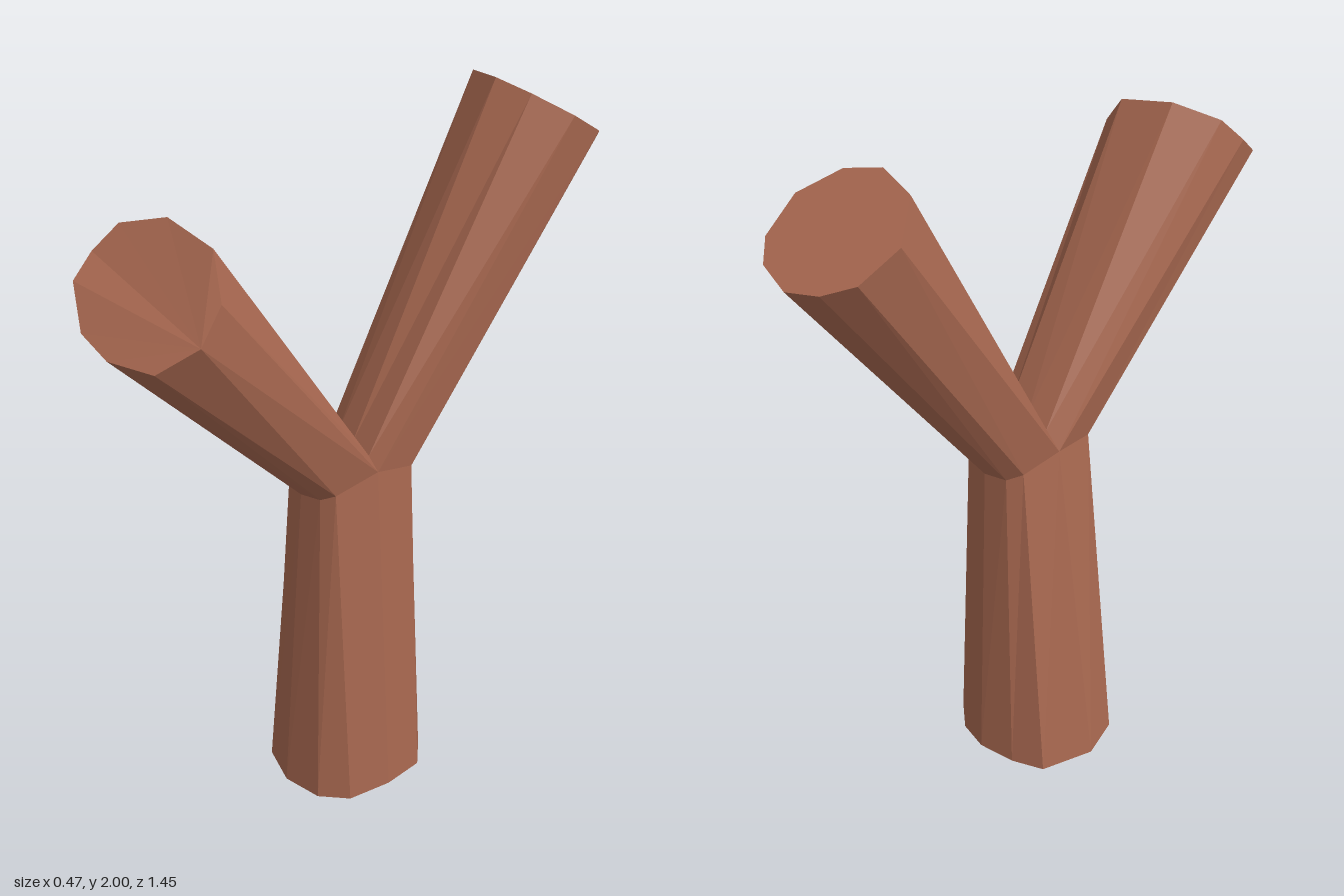
import * as THREE from 'three';

// Flat-shaded tube between two matching rings (counter-clockwise seen from above)
function loft(name, material, from, to, caps) {
  const pos = [];
  const tri = (a, b, c) => pos.push(...a, ...b, ...c);
  const n = from.length;
  for (let i = 0; i < n; i++) {
    const j = (i + 1) % n;
    tri(from[i], from[j], to[j]);
    tri(from[i], to[j], to[i]);
  }
  for (let i = 1; i < n - 1; i++) {
    if (caps.start) tri(from[0], from[i + 1], from[i]);
    if (caps.end) tri(to[0], to[i], to[i + 1]);
  }
  const geometry = new THREE.BufferGeometry();
  geometry.setAttribute('position', new THREE.Float32BufferAttribute(pos, 3));
  geometry.computeVertexNormals();
  const mesh = new THREE.Mesh(geometry, material);
  mesh.name = name;
  return mesh;
}

export function createModel() {
  const group = new THREE.Group();
  group.name = 'forkedBranch';
  const wood = new THREE.MeshStandardMaterial({ color: 0xa86850 });
  wood.name = 'reddish brown wood';

  // Fork: shared corner points where the trunk splits in two
  const right = [0.14, 1.06, 0.01];
  const left = [-0.09, 1.05, 0.01];
  const crotch = [[0.1, 1.09, 0.01], [0.03, 1.1, 0.01], [-0.04, 1.09, 0.01]]; // right to left
  const backRim = [[0.13, 1.03, -0.11], [0.09, 1.01, -0.14], [0.03, 1, -0.15],
    [-0.04, 1.01, -0.14], [-0.075, 1.03, -0.11]]; // right to left
  const frontRim = [[-0.075, 1.03, 0.14], [-0.03, 1.01, 0.17], [0.03, 1, 0.18],
    [0.095, 1.01, 0.165], [0.13, 1.03, 0.14]]; // left to right

  // Trunk
  const foot = [[0.195, 0], [0.18, -0.12], [0.11, -0.18], [0.02, -0.2], [-0.09, -0.18], [-0.18, -0.14],
    [-0.235, 0.01], [-0.2, 0.13], [-0.12, 0.2], [0, 0.23], [0.115, 0.2], [0.18, 0.13]]
    .map(([x, z]) => [x, 0, z]);
  group.add(loft('trunk', wood, foot, [right, ...backRim, left, ...frontRim], { start: true }));

  // Back branch, its end cut along a sloping plane
  const backEnd = [[0.2, -0.55], [0.19, -0.65], [0.14, -0.7], [0.04, -0.725], [-0.05, -0.7],
    [-0.12, -0.65], [-0.15, -0.55], [-0.08, -0.455], [0.035, -0.43], [0.13, -0.465]]
    .map(([x, z]) => [x, 2 + (z + 0.43) * 0.644, z]);
  const backStart = [right, ...backRim, left, ...[...crotch].reverse()];
  group.add(loft('backBranch', wood, backStart, backEnd, { end: true }));

  // Front branch, slightly twisted
  const frontEnd = [[0.23, 1.645, 0.58], [0.22, 1.73, 0.515], [0.14, 1.825, 0.48], [-0.01, 1.855, 0.505],
    [-0.12, 1.82, 0.57], [-0.15, 1.755, 0.63], [-0.14, 1.7, 0.69], [-0.055, 1.61, 0.725],
    [0.04, 1.575, 0.715], [0.165, 1.577, 0.665]];
  const frontStart = [right, ...crotch, left, ...frontRim];
  group.add(loft('frontBranch', wood, frontStart, frontEnd, { end: true }));

  return group;
}
